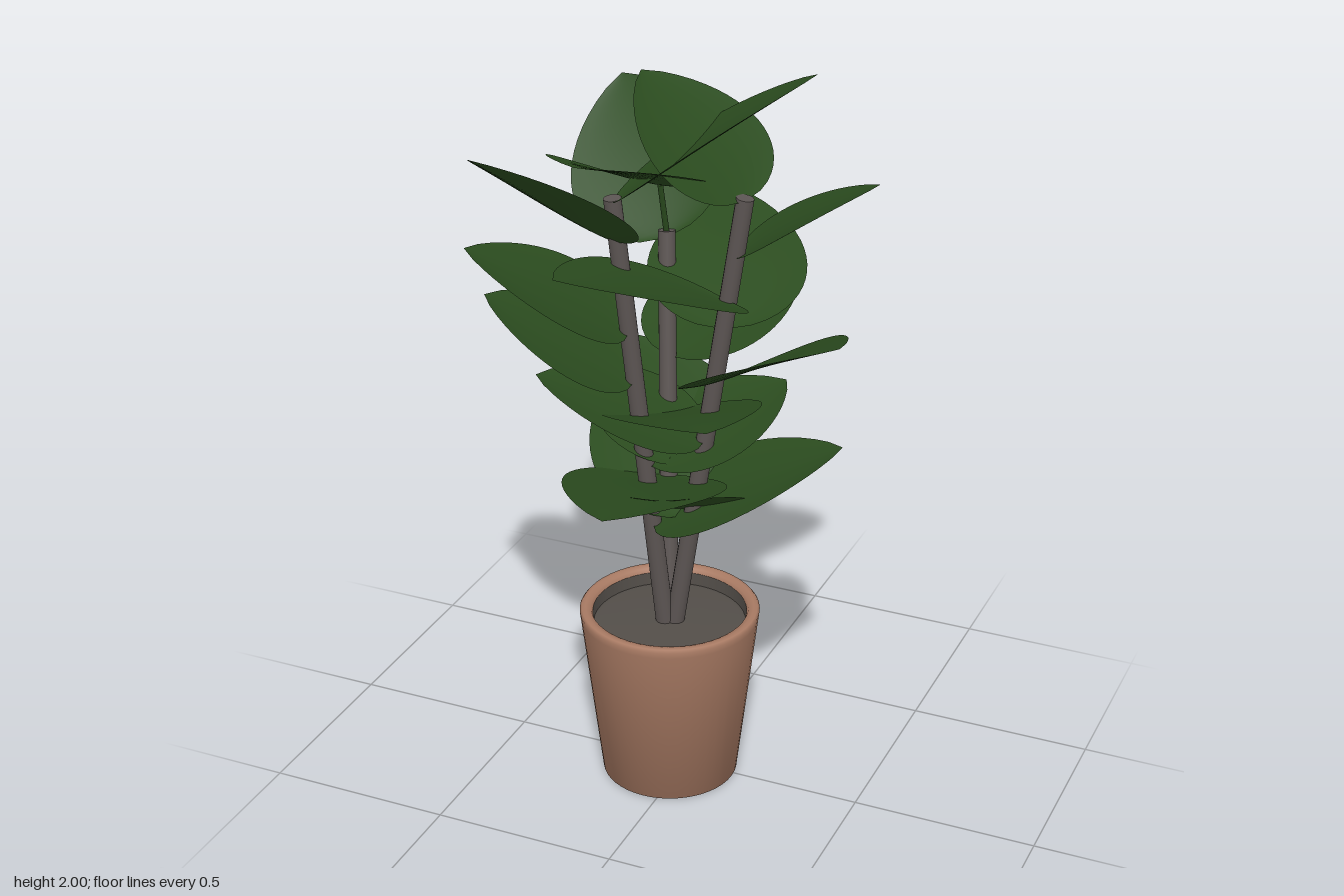
import * as THREE from 'three';

const V = (x, y, z) => new THREE.Vector3(x, y, z);
const UP = V(0, 1, 0);

// Broad pointed blade along +z: nearly flat, slightly cupped across and arched along
function leafGeometry(length, halfWidth) {
  const rows = 20, cols = 10, pos = [], index = [];
  for (let i = 0; i <= rows; i++) {
    const u = (i / rows) ** 1.3;
    const f = Math.sqrt(u) * (1 - u) ** 0.82 / 0.413;
    for (let j = 0; j <= cols; j++) {
      const v = (j / cols) * 2 - 1;
      const y = 0.06 * u * (1 - u) + 0.02 * f * (v * v - 0.5);
      pos.push(halfWidth * f * v, y, u * length);
    }
  }
  for (let i = 0; i < rows; i++) {
    for (let j = 0; j < cols; j++) {
      const a = i * (cols + 1) + j, b = a + cols + 1;
      index.push(a, b, a + 1, a + 1, b, b + 1);
    }
  }
  const geo = new THREE.BufferGeometry();
  geo.setAttribute('position', new THREE.Float32BufferAttribute(pos, 3));
  geo.setIndex(index);
  geo.computeVertexNormals();
  return geo;
}

export function createModel() {
  const model = new THREE.Group();
  model.name = 'pottedPlant';
  const clay = new THREE.MeshStandardMaterial({ color: 0xa87a63 });
  clay.name = 'terracotta';
  const earth = new THREE.MeshStandardMaterial({ color: 0x534e49 });
  earth.name = 'soilGrey';
  const bark = new THREE.MeshStandardMaterial({ color: 0x5c5553 });
  bark.name = 'barkGrey';
  const green = new THREE.MeshStandardMaterial({ color: 0x2b4c1f, side: THREE.DoubleSide });
  green.name = 'leafGreen';

  const add = (name, geo, mat) => {
    const mesh = new THREE.Mesh(geo, mat);
    mesh.name = name;
    model.add(mesh);
    return mesh;
  };
  const turned = (name, points, mat) => {
    const profile = points.map(([r, y]) => new THREE.Vector2(r, y));
    add(name, new THREE.LatheGeometry(profile, 48), mat).position.set(-0.04, 0, 0.015);
  };
  const rod = (name, from, to, radius, mat) => {
    const axis = to.clone().sub(from);
    const mesh = add(name, new THREE.CylinderGeometry(radius * 0.92, radius, axis.length(), 14), mat);
    mesh.position.copy(from).lerp(to, 0.5);
    mesh.quaternion.setFromUnitVectors(UP, axis.normalize());
  };

  // Tapered pot with a rounded lip, lined with soil
  turned('pot', [[0, 0], [0.184, 0], [0.24, 0.475], [0.242, 0.492], [0.236, 0.499], [0.226, 0.5],
    [0.212, 0.496], [0.207, 0.485]], clay);
  turned('soilLining', [[0.207, 0.485], [0.205, 0.45]], earth);
  turned('soil', [[0.205, 0.45], [0.19, 0.454], [0.1, 0.457], [0, 0.458]], earth);

  // Three stems fanning out; each lists its leaves as
  // [attachment height, tip x, y, z, roll about the leaf axis, petiole rise]
  const stems = [
    { name: 'frontStem', foot: V(-0.047, 0.42, 0.022), top: V(-0.14, 1.69, 0.13), leaves: [
      [0.76, 0.38, 0.98, -0.15], [0.94, 0.17, 1.08, -0.28], [1.18, -0.485, 1.39, 0.17],
      [1.32, -0.5, 1.54, 0.24], [1.57, -0.37, 1.86, 0.44, 0.2], [1.68, 0.31, 2.0, -0.09, -0.2]] },
    { name: 'sideStem', foot: V(-0.03, 0.42, 0.014), top: V(0.16, 1.69, 0), leaves: [
      [0.78, -0.31, 1.01, -0.28], [0.94, -0.35, 1.13, -0.28], [1.01, -0.37, 1.165, 0.12],
      [1.18, 0.5, 1.44, 0.23], [1.33, -0.08, 1.51, -0.5], [1.41, -0.14, 1.6, 0.465],
      [1.53, 0.45, 1.71, -0.17, -0.25], [1.68, -0.16, 1.95, -0.09]] },
    { name: 'backStem', foot: V(-0.044, 0.42, 0.006), top: V(-0.125, 1.5, -0.165), leaves: [
      [0.75, 0.07, 0.98, 0.31], [0.85, 0.02, 1.03, 0.55], [1.03, 0.19, 1.19, 0.31],
      [1.17, 0.075, 1.33, -0.56], [1.48, -0.4, 1.79, -0.49, -0.45], [1.49, -0.14, 1.84, 0.34, 0, 0.15]] },
  ];

  for (const { name, foot, top, leaves } of stems) {
    rod(name, foot, top, 0.025, bark);
    for (const [height, x, y, z, roll = 0, rise = 0] of leaves) {
      const base = foot.clone().lerp(top, (height - foot.y) / (top.y - foot.y));
      if (rise) {
        const joint = base.clone();
        base.add(V(0, rise, 0.04));
        rod('petiole', joint, base, 0.008, green);
      }
      const dir = V(x, y, z).sub(base);
      const length = dir.length();
      dir.normalize();
      const side = UP.clone().cross(dir).normalize();
      const normal = dir.clone().cross(side);
      const leaf = add('leaf', leafGeometry(length, 0.205), green);
      leaf.position.copy(base);
      leaf.quaternion.setFromRotationMatrix(new THREE.Matrix4().makeBasis(side, normal, dir));
      leaf.rotateZ(roll);
    }
  }
  return model;
}
